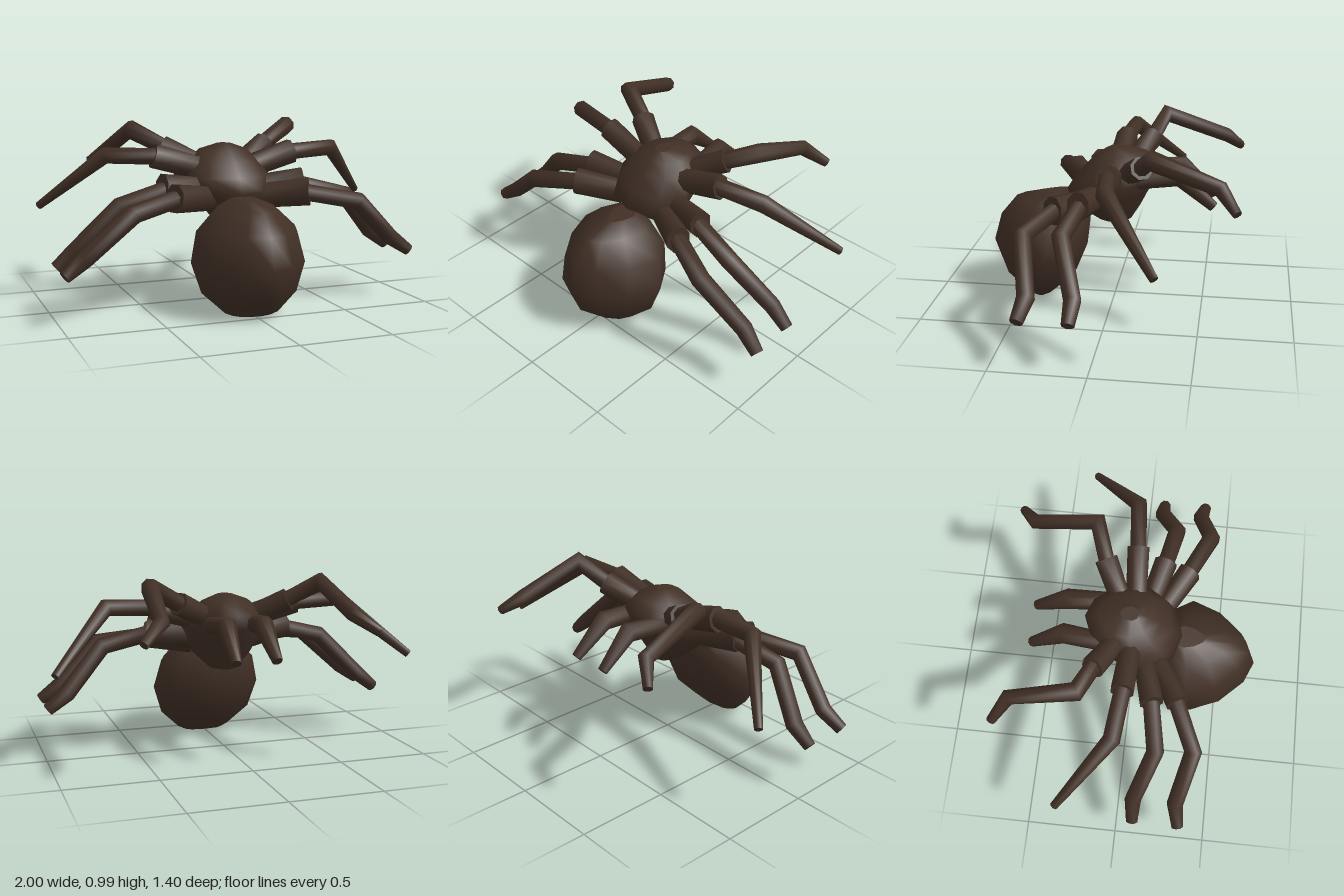
import * as THREE from 'three';

const brown = new THREE.MeshStandardMaterial({ color: 0x402f25 });
brown.name = 'dark brown';

// Joins equal rings of points (counter-clockwise about the direction of travel) and closes both ends.
function loft(name, rings) {
  const n = rings[0].length;
  const pos = [], idx = [];
  rings.forEach(r => r.forEach(p => pos.push(p.x, p.y, p.z)));
  for (let k = 0; k < rings.length - 1; k++) {
    for (let i = 0; i < n; i++) {
      const a = k * n + i, b = k * n + (i + 1) % n;
      idx.push(a, b, a + n, b, b + n, a + n);
    }
  }
  // Caps have their own vertices so that their edges stay sharp
  [[rings[0], true], [rings[rings.length - 1], false]].forEach(([ring, flip]) => {
    const start = pos.length / 3;
    ring.forEach(p => pos.push(p.x, p.y, p.z));
    for (let i = 1; i < n - 1; i++) {
      idx.push(start, start + (flip ? i + 1 : i), start + (flip ? i : i + 1));
    }
  });
  const geo = new THREE.BufferGeometry();
  geo.setAttribute('position', new THREE.Float32BufferAttribute(pos, 3));
  geo.setIndex(idx);
  geo.computeVertexNormals();
  const mesh = new THREE.Mesh(geo, brown);
  mesh.name = name;
  return mesh;
}

// Body from level sections [y, zMin, zMax, halfWidth]; taper widens (+) or narrows (-) the +z end
function body(name, sections, sides, taper) {
  return loft(name, sections.map(([y, z0, z1, hx]) =>
    Array.from({ length: sides }, (_, i) => {
      const a = i / sides * Math.PI * 2, c = Math.cos(a);
      const w = hx * (1 + taper * c);
      return new THREE.Vector3(w * Math.sin(a), y, (z0 + z1) / 2 + (z1 - z0) / 2 * c);
    })));
}

// Bent limb through stations [x, y, z, radius], mitred at its joints; tall stretches its height
function limb(name, stations, side, tall = 1, sides = 8) {
  const pts = stations.map(([x, y, z]) => new THREE.Vector3(x * side, y, z));
  const dir = (a, b) => b.clone().sub(a).normalize();
  const up = new THREE.Vector3(0, 1, 0);
  return loft(name, pts.map((p, k) => {
    const t = new THREE.Vector3();
    if (k > 0) t.add(dir(pts[k - 1], p));
    if (k < pts.length - 1) t.add(dir(p, pts[k + 1]));
    t.normalize();
    const u = up.clone().cross(t).normalize(), v = t.clone().cross(u);
    const r = stations[k][3];
    return Array.from({ length: sides }, (_, i) => {
      const a = (i + 0.5) / sides * Math.PI * 2;
      return p.clone().addScaledVector(u, r * Math.cos(a)).addScaledVector(v, r * tall * Math.sin(a));
    });
  }));
}

// Each leg: thick inner segment, then the thinner jointed outer segments
const LEGS = [
  { name: 'frontLeg', tall: 1,
    hip: [[0.12, 0.75, -0.08, 0.058], [0.31, 0.85, -0.18, 0.064]],
    shin: [[0.27, 0.83, -0.165, 0.045], [0.475, 0.945, -0.24, 0.052], [0.505, 0.82, -0.595, 0.042], [0.615, 0.73, -0.68, 0.025]] },
  { name: 'secondLeg', tall: 1.1,
    hip: [[0.15, 0.74, 0.0, 0.06], [0.41, 0.815, -0.015, 0.064]],
    shin: [[0.36, 0.81, -0.01, 0.047], [0.67, 0.825, -0.04, 0.048], [0.985, 0.53, -0.315, 0.022]] },
  { name: 'thirdLeg', tall: 1.2,
    hip: [[0.15, 0.63, 0.07, 0.058], [0.41, 0.66, 0.14, 0.066]],
    shin: [[0.36, 0.655, 0.13, 0.047], [0.65, 0.58, 0.185, 0.05], [0.87, 0.345, 0.09, 0.047], [0.975, 0.26, 0.095, 0.034]] },
  { name: 'backLeg', tall: 1.2,
    hip: [[0.14, 0.59, 0.14, 0.058], [0.385, 0.62, 0.28, 0.066]],
    shin: [[0.34, 0.62, 0.255, 0.047], [0.63, 0.57, 0.385, 0.05], [0.87, 0.345, 0.32, 0.047], [0.98, 0.265, 0.345, 0.034]] },
];

export function createModel() {
  const model = new THREE.Group();
  model.name = 'spider';

  // Large drooping abdomen, narrowing to the rear
  model.add(body('abdomen', [
    [0.0, 0.375, 0.46, 0.1], [0.02, 0.345, 0.53, 0.145], [0.13, 0.225, 0.64, 0.255],
    [0.29, 0.16, 0.7, 0.302], [0.45, 0.14, 0.655, 0.265],
    [0.565, 0.17, 0.56, 0.15], [0.605, 0.22, 0.4, 0.06],
  ], 10, -0.38));

  // Egg-shaped front body with the narrow end as the head
  model.add(body('frontBody', [
    [0.46, -0.09, 0.09, 0.08], [0.54, -0.14, 0.2, 0.16], [0.62, -0.18, 0.27, 0.215],
    [0.7, -0.23, 0.22, 0.235], [0.78, -0.26, 0.15, 0.195],
    [0.84, -0.19, 0.085, 0.13], [0.872, -0.07, 0.03, 0.04],
  ], 10, 0.16));

  // Four legs and one feeler on each side
  for (const side of [1, -1]) {
    const label = side > 0 ? 'Left' : 'Right';
    for (const { name, tall, hip, shin } of LEGS) {
      const leg = new THREE.Group();
      leg.name = name + label;
      leg.add(limb('upperSegment', hip, side, tall), limb('lowerSegments', shin, side));
      model.add(leg);
    }
    model.add(limb('feeler' + label, [
      [0.12, 0.72, -0.12, 0.05], [0.1, 0.745, -0.365, 0.055], [0.11, 0.585, -0.55, 0.028],
    ], side));
  }
  return model;
}
